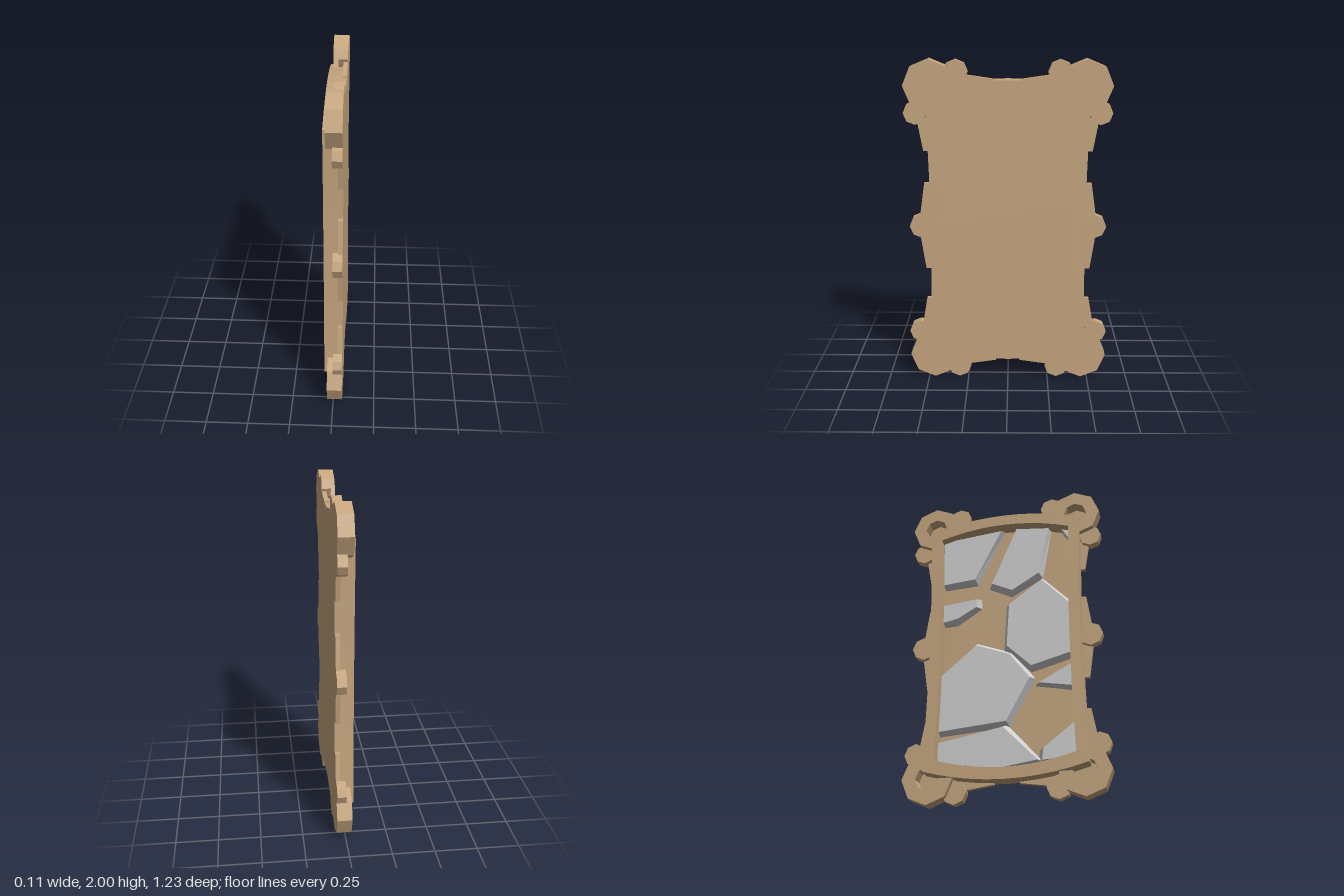
import * as THREE from 'three';

const MID = 1.003;   // height of the mirror's centre
const BACK = 0.055;  // flat rear plane; the glass side faces -x

const wood = new THREE.MeshStandardMaterial({ color: 0xc6a67f, flatShading: true });
wood.name = 'wood';
const glass = new THREE.MeshStandardMaterial({ color: 0xd0d0d0, flatShading: true });
glass.name = 'glass';

const toShape = (pts) => new THREE.Shape(pts.map(([z, y]) => new THREE.Vector2(z, y)));

// Extrudes a (z, y) outline from x = back towards -x
function slab(name, shape, back, front, material, taper = null) {
  const depth = back - front;
  const geo = new THREE.ExtrudeGeometry(shape, { depth, bevelEnabled: false, curveSegments: 10 });
  if (taper) taper(geo.attributes.position);
  geo.rotateY(-Math.PI / 2);
  geo.translate(back, 0, 0);
  geo.computeVertexNormals();
  const mesh = new THREE.Mesh(geo, material);
  mesh.name = name;
  return mesh;
}

// Four-sided outline: bowed top and bottom, pinched sides
function bowed(w, h, topBulge, sideBulge, Type = THREE.Shape) {
  const s = new Type();
  s.moveTo(-w, MID - h);
  s.quadraticCurveTo(0, MID - h - topBulge, w, MID - h);
  s.quadraticCurveTo(w - sideBulge, MID, w, MID + h);
  s.quadraticCurveTo(0, MID + h + topBulge, -w, MID + h);
  s.quadraticCurveTo(-w + sideBulge, MID, -w, MID - h);
  return s;
}

// Points of an octagon arc, in steps of 45 degrees
function octagon(cz, cy, r, from = 0, to = 7) {
  const pts = [];
  for (let i = from; i <= to; i++) {
    const a = i * Math.PI / 4;
    pts.push([cz + r * Math.cos(a), cy + r * Math.sin(a)]);
  }
  return pts;
}

// Broken glass piece with sloping edges: its rear outline is wider
function shard(pts) {
  const cz = pts.reduce((s, p) => s + p[0], 0) / pts.length;
  const cy = pts.reduce((s, p) => s + p[1], 0) / pts.length;
  return slab('glassShard', toShape(pts), 0.046, 0, glass, (p) => {
    for (let i = 0; i < p.count; i++) {
      if (p.getZ(i) > 0.001) continue;
      const dz = p.getX(i) - cz, dy = p.getY(i) - cy;
      const k = 1 + 0.03 / Math.hypot(dz, dy);
      p.setX(i, THREE.MathUtils.clamp(cz + dz * k, -0.43, 0.43));
      p.setY(i, cy + dy * k);
    }
  });
}

export function createModel() {
  const model = new THREE.Group();
  model.name = 'brokenMirror';

  // Main frame and backing board
  const rim = bowed(0.487, 0.805, 0.145, 0.04);
  rim.holes.push(bowed(0.415, 0.742, 0.13, 0.03, THREE.Path));
  model.add(slab('frame', rim, BACK, -0.055, wood));
  model.add(slab('backBoard', bowed(0.45, 0.78, 0.14, 0.03), BACK, 0.045, wood));

  // Corner scrolls, lobes and leaves, mirrored to each quarter
  for (const sz of [1, -1]) for (const sy of [1, -1]) {
    const place = (pts) => toShape(pts.map(([z, y]) => [z * sz, MID + (y - MID) * sy]));
    const corner = new THREE.Group();
    corner.name = 'cornerOrnament';
    const scroll = [...octagon(0.46, 1.848, 0.153, -2, 4), ...octagon(0.46, 1.848, 0.07, -2, 4).reverse()];
    corner.add(slab('scroll', place(scroll), BACK, -0.035, wood));
    corner.add(slab('scrollBack', place(octagon(0.46, 1.848, 0.15)), BACK, 0.045, wood));
    corner.add(slab('topLobe', place(octagon(0.305, 1.927, 0.072)), BACK, 0, wood));
    corner.add(slab('sideLobe', place(octagon(0.545, 1.69, 0.069)), BACK, 0, wood));
    corner.add(slab('topLeaf', place([[0.3, 1.92], [0.075, 1.887], [0.075, 1.84], [0.3, 1.82]]), BACK, 0.028, wood));
    corner.add(slab('sideLeaf', place([[0.535, 1.66], [0.5, 1.465], [0.45, 1.465], [0.45, 1.66]]), BACK, 0.028, wood));
    corner.add(slab('middleLeaf', place([[0.537, 1.02], [0.5, 1.272], [0.45, 1.272], [0.45, 1.02]]), BACK, 0.028, wood));
    model.add(corner);
  }
  for (const sz of [1, -1]) {
    model.add(slab('middleLobe', toShape(octagon(0.52 * sz, MID, 0.075)), BACK, 0, wood));
  }

  // Glass pieces left in the frame, as (z, y) outlines
  const shards = [
    [[-0.41, 1.76], [-0.03, 1.8], [-0.2, 1.46], [-0.41, 1.44]],
    [[0.07, 1.8], [0.28, 1.78], [0.21, 1.46], [0.04, 1.355], [-0.09, 1.415]],
    [[0.227, 1.41], [0.41, 1.217], [0.41, 0.9], [0.155, 0.83], [0.005, 0.974], [0.02, 1.25]],
    [[-0.186, 0.994], [0.02, 0.917], [0.144, 0.756], [0, 0.49], [-0.41, 0.45], [-0.41, 0.8]],
    [[-0.02, 0.455], [0.186, 0.243], [-0.06, 0.205], [-0.41, 0.26], [-0.41, 0.38]],
    [[0.41, 0.46], [0.41, 0.25], [0.21, 0.24], [0.22, 0.31]],
    [[0.41, 0.83], [0.41, 0.68], [0.2, 0.715]],
    [[-0.41, 1.29], [-0.19, 1.315], [-0.19, 1.26], [-0.31, 1.19], [-0.41, 1.17]],
    [[0.36, 1.77], [0.41, 1.75], [0.41, 1.69]],
  ];
  shards.forEach((pts) => model.add(shard(pts)));

  return model;
}
